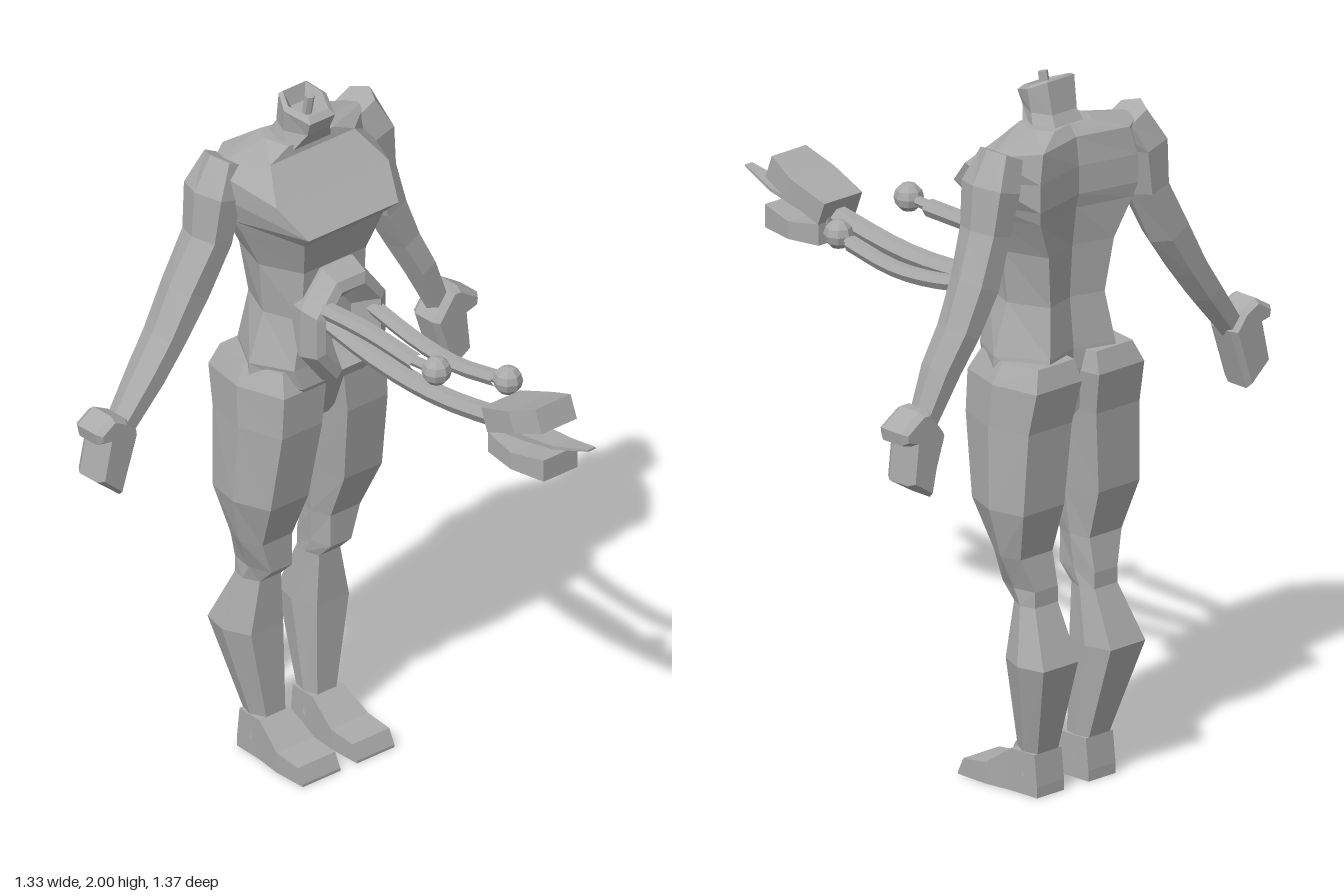
import * as THREE from 'three';

const CX = 0.038; // body midline

const skin = new THREE.MeshStandardMaterial({ color: 0xaaaaaa });
skin.name = 'grey skin';
skin.flatShading = true;
const V = (x, y, z) => new THREE.Vector3(x, y, z);

// Closed skin over rings of equal point count; winding is fixed from the signed volume
function loft(rings) {
  const n = rings[0].length, pts = rings.flat(), idx = [];
  for (let r = 0; r < rings.length - 1; r++) {
    for (let i = 0; i < n; i++) {
      const a = r * n + i, b = r * n + (i + 1) % n;
      idx.push(a, b, a + n, b, b + n, a + n);
    }
  }
  const last = (rings.length - 1) * n, base = pts.length;
  for (const ring of [rings[0], rings[rings.length - 1]]) {
    const c = V(0, 0, 0);
    ring.forEach(p => c.add(p));
    pts.push(c.divideScalar(n));
  }
  for (let i = 0; i < n; i++) {
    const j = (i + 1) % n;
    idx.push(base, j, i, base + 1, last + i, last + j);
  }
  let volume = 0;
  for (let i = 0; i < idx.length; i += 3) {
    volume += pts[idx[i]].dot(V(0, 0, 0).crossVectors(pts[idx[i + 1]], pts[idx[i + 2]]));
  }
  if (volume < 0) idx.reverse();
  const g = new THREE.BufferGeometry().setFromPoints(pts);
  g.setIndex(idx);
  g.computeVertexNormals();
  return g;
}

function add(group, name, geometry) {
  const mesh = new THREE.Mesh(geometry, skin);
  mesh.name = name;
  group.add(mesh);
  return mesh;
}

// Ring round the trunk: front corners, sides, back corners and spine groove
const trunkRing = ([y, wf, zf, ws, zs, wb, zb, zc, dy = 0]) => [
  V(CX + wf, y - dy, zf), V(CX + ws, y, zs), V(CX + wb, y + dy, zb), V(CX, y + dy, zc),
  V(CX - wb, y + dy, zb), V(CX - ws, y, zs), V(CX - wf, y - dy, zf)];

function makeArm(group, side, path) {
  // Six-sided limb following a path of [x, y, z, half width, half depth]
  const rings = path.map(([x, y, z, w, d], i) => {
    const a = path[Math.max(0, i - 1)], b = path[Math.min(path.length - 1, i + 1)];
    const dx = b[0] - a[0], dy = b[1] - a[1], l = Math.hypot(dx, dy);
    const px = -dy / l * w, py = dx / l * w;
    return [[1, 0], [0.55, 1], [-0.55, 1], [-1, 0], [-0.55, -1], [0.55, -1]]
      .map(([u, v]) => V(x + px * u, y + py * u, z + v * d));
  });
  add(group, side + 'Arm', loft(rings));
}

function makeHand(group, side, outline, z) {
  const shape = new THREE.Shape(outline.map(p => new THREE.Vector2(...p)));
  const g = new THREE.ExtrudeGeometry(shape, {
    depth: 0.07, bevelEnabled: true, bevelSegments: 1, bevelSize: 0.012, bevelThickness: 0.018, bevelOffset: -0.012
  });
  g.translate(0, 0, z);
  add(group, side + 'Hand', g);
}

function makeLeg(group, s, side) {
  // [y, inner x, outer x, front z, back z]
  const rings = [
    [1.23, 0.02, 0.195, -0.41, -0.645], [1.17, 0.005, 0.225, -0.38, -0.665],
    [1.05, 0.02, 0.23, -0.38, -0.64], [0.82, 0.04, 0.238, -0.415, -0.63],
    [0.68, 0.05, 0.205, -0.475, -0.59], [0.585, 0.055, 0.165, -0.475, -0.61],
    [0.54, 0.055, 0.165, -0.52, -0.61], [0.385, 0.04, 0.208, -0.52, -0.68],
    [0.12, 0.045, 0.145, -0.515, -0.6], [0.05, 0.04, 0.15, -0.5, -0.605]
  ].map(([y, a, b, f, k]) => {
    const m = (f + k) / 2, w = b - a;
    return [[a + w * 0.12, f], [b - w * 0.2, f], [b, m], [b - w * 0.12, k], [a + w * 0.12, k], [a, m]]
      .map(([x, z]) => V(CX + s * x, y, z));
  });
  add(group, side + 'Leg', loft(rings));
  // Foot sections from heel to toe: [z, top, inner x, outer x]
  const foot = [
    [-0.61, 0.03, 0.045, 0.145], [-0.6, 0.12, 0.045, 0.145], [-0.515, 0.12, 0.04, 0.15],
    [-0.43, 0.06, 0.03, 0.163], [-0.345, 0.05, 0.03, 0.163], [-0.325, 0.008, 0.03, 0.163]
  ].map(([z, t, a, b]) => [V(CX + s * a, 0, z), V(CX + s * b, 0, z), V(CX + s * b, t, z), V(CX + s * a, t, z)]);
  add(group, side + 'Foot', loft(foot));
}

function makeTentacle(group, name, r, points) {
  const curve = new THREE.CatmullRomCurve3(points.map(p => V(...p)));
  add(group, name, new THREE.TubeGeometry(curve, 10, r, 6));
}

// Slab sections along z: [z, half width, bottom, top]; lean pushes the bottom edge forward
const slab = (rows, x, lean = 0) => loft(rows.map(([z, w, lo, hi]) =>
  [V(x - w, lo, z + lean), V(x + w, lo, z + lean), V(x + w, hi, z), V(x - w, hi, z)]));

export function createModel() {
  const model = new THREE.Group();
  model.name = 'headlessFigure';

  // Trunk from crotch to collar
  add(model, 'torso', loft([
    [1.04, 0.02, -0.43, 0.03, -0.5, 0.02, -0.58, -0.56],
    [1.18, 0.12, -0.375, 0.2, -0.5, 0.13, -0.64, -0.6],
    [1.24, 0.14, -0.385, 0.2, -0.5, 0.12, -0.635, -0.6],
    [1.38, 0.11, -0.39, 0.15, -0.5, 0.1, -0.615, -0.585],
    [1.53, 0.11, -0.38, 0.165, -0.5, 0.12, -0.63, -0.595],
    [1.64, 0.14, -0.345, 0.215, -0.51, 0.17, -0.65, -0.61],
    [1.68, 0.16, -0.305, 0.235, -0.52, 0.18, -0.66, -0.62],
    [1.76, 0.2, -0.39, 0.27, -0.55, 0.18, -0.66, -0.62],
    [1.84, 0.15, -0.47, 0.28, -0.57, 0.16, -0.65, -0.61],
    [1.87, 0.08, -0.475, 0.1, -0.55, 0.07, -0.6, -0.585]
  ].map(trunkRing)));

  // Neck stump with a slanted, hollowed top and a stub of spine
  add(model, 'neck', loft([
    [1.84, 0.075, -0.48, 0.09, -0.54, 0.06, -0.6, -0.6],
    [1.9, 0.04, -0.445, 0.07, -0.51, 0.045, -0.565, -0.565],
    [1.965, 0.045, -0.43, 0.075, -0.5, 0.05, -0.55, -0.55, 0.025],
    [1.975, 0.035, -0.445, 0.06, -0.5, 0.04, -0.545, -0.545, 0.02],
    [1.94, 0.02, -0.46, 0.035, -0.5, 0.025, -0.53, -0.53, 0.01]
  ].map(trunkRing)));
  const spine = add(model, 'spineStub', new THREE.CylinderGeometry(0.014, 0.014, 0.09, 6));
  spine.position.set(CX, 1.95, -0.49);
  spine.rotation.x = 0.2;

  for (const [s, side] of [[1, 'left'], [-1, 'right']]) makeLeg(model, s, side);

  // Arms, each with its own pose
  makeArm(model, 'left', [
    [0.28, 1.845, -0.575, 0.06, 0.05], [0.32, 1.76, -0.575, 0.068, 0.075], [0.34, 1.64, -0.575, 0.058, 0.065],
    [0.385, 1.5, -0.58, 0.062, 0.06], [0.44, 1.38, -0.575, 0.05, 0.055],
    [0.49, 1.28, -0.56, 0.046, 0.05], [0.55, 1.14, -0.55, 0.034, 0.036]]);
  makeArm(model, 'right', [
    [-0.18, 1.845, -0.575, 0.06, 0.05], [-0.225, 1.76, -0.575, 0.068, 0.075], [-0.245, 1.63, -0.575, 0.058, 0.065],
    [-0.315, 1.49, -0.585, 0.062, 0.06], [-0.39, 1.37, -0.585, 0.05, 0.055],
    [-0.455, 1.28, -0.585, 0.046, 0.05], [-0.555, 1.15, -0.585, 0.036, 0.036]]);
  makeHand(model, 'left', [[0.5, 1.11], [0.56, 1.19], [0.59, 1.19], [0.66, 1.145], [0.655, 1.11],
    [0.62, 1.1], [0.632, 0.99], [0.55, 0.94], [0.53, 1.02]], -0.58);
  makeHand(model, 'right', [[-0.52, 1.15], [-0.56, 1.2], [-0.61, 1.225], [-0.667, 1.19], [-0.66, 1.155],
    [-0.635, 1.15], [-0.66, 1.04], [-0.58, 0.975]], -0.62);

  // Swollen opening in the belly
  const growth = [[-0.5, 0.1, 0.14], [-0.37, 0.135, 0.175], [-0.315, 0.125, 0.15],
    [-0.305, 0.1, 0.12], [-0.34, 0.075, 0.09], [-0.37, 0.05, 0.06]].map(([z, rx, ry]) =>
    Array.from({ length: 8 }, (_, i) => {
      const a = (i + 0.5) * Math.PI / 4;
      return V(CX + rx * 1.06 * Math.cos(a), 1.36 + ry * 1.06 * Math.sin(a), z);
    }));
  add(model, 'bellyGrowth', loft(growth));

  // Tentacles: two tipped with balls, the longest with jaws
  makeTentacle(model, 'upperTentacle', 0.025, [[-0.045, 1.43, -0.4], [-0.048, 1.442, -0.15], [-0.06, 1.44, 0.06]]);
  makeTentacle(model, 'upperTentacleTip', 0.015, [[-0.06, 1.44, 0.03], [-0.06, 1.445, 0.08], [-0.06, 1.447, 0.13]]);
  makeTentacle(model, 'lowerTentacle', 0.023, [[0.135, 1.385, -0.4], [0.135, 1.34, -0.15], [0.135, 1.335, 0], [0.135, 1.362, 0.16]]);
  makeTentacle(model, 'lowerTentacleTip', 0.014, [[0.135, 1.355, 0.13], [0.135, 1.368, 0.18], [0.135, 1.375, 0.21]]);
  makeTentacle(model, 'jawTentacle', 0.029, [[0.006, 1.365, -0.4], [0.006, 1.325, -0.15], [0.006, 1.322, 0.08], [0.006, 1.365, 0.37]]);
  for (const [name, x, y, z] of [['upperBall', -0.06, 1.45, 0.138], ['lowerBall', 0.135, 1.376, 0.205]]) {
    add(model, name, new THREE.SphereGeometry(0.041, 8, 6)).position.set(x, y, z);
  }

  // Jaws and curling tongue
  add(model, 'upperJaw', slab([[0.32, 0.07, 1.35, 1.415], [0.44, 0.08, 1.4, 1.457], [0.53, 0.063, 1.43, 1.495]], 0.007, 0.025));
  add(model, 'lowerJaw', slab([[0.345, 0.068, 1.29, 1.35], [0.45, 0.08, 1.285, 1.335], [0.56, 0.06, 1.285, 1.35]], 0.007));
  add(model, 'tongue', slab([[0.34, 0.04, 1.345, 1.375], [0.46, 0.04, 1.36, 1.376],
    [0.57, 0.033, 1.378, 1.388], [0.685, 0.013, 1.412, 1.418]], 0.007));

  return model;
}
